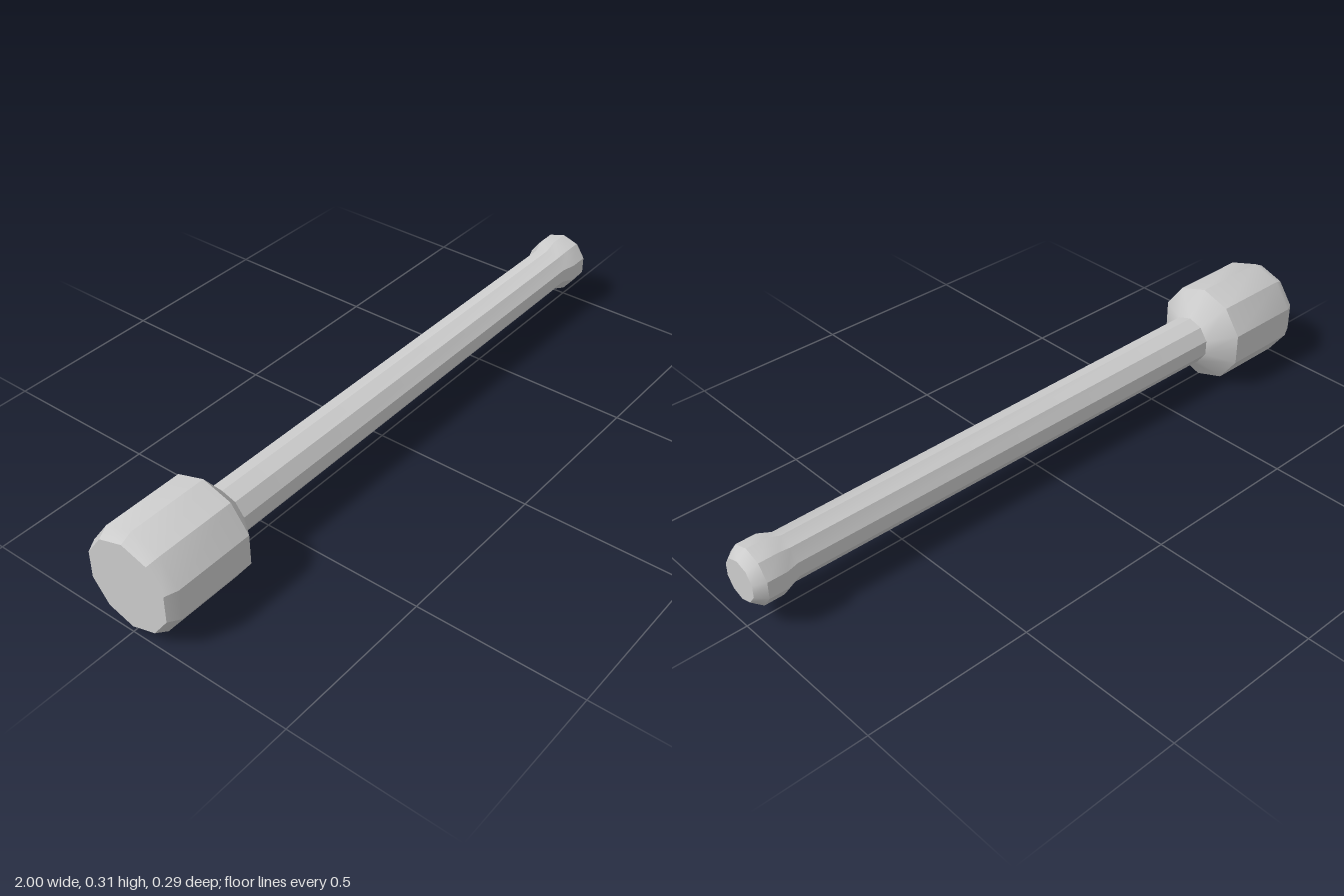
import * as THREE from 'three';
import { toCreasedNormals } from 'three/addons/utils/BufferGeometryUtils.js';

const SIDES = 10;
const AXIS_Y = 0.153;

// Ten-sided solid turned around the x axis; profile is [x, radius] from -x to +x
function turned(name, profile, material) {
  const points = profile.map(([x, r]) => new THREE.Vector2(r, x));
  const lathe = new THREE.LatheGeometry(points, SIDES, Math.PI / 2);
  lathe.rotateZ(-Math.PI / 2);
  const mesh = new THREE.Mesh(toCreasedNormals(lathe, Math.PI / 6), material);
  mesh.name = name;
  mesh.position.y = AXIS_Y;
  return mesh;
}

export function createModel() {
  const model = new THREE.Group();
  model.name = 'mallet';
  const grey = new THREE.MeshStandardMaterial({ color: 0xcccccc });

  // Heavy head: bevelled rear face, straight body, cone down to the handle
  model.add(turned('head', [
    [-1, 0], [-1, 0.135], [-0.965, 0.153], [-0.72, 0.153], [-0.66, 0.075], [-0.66, 0],
  ], grey));

  // Slightly tapering handle that flares into a bevelled end knob
  model.add(turned('handle', [
    [-0.66, 0.075], [0.87, 0.07], [0.91, 0.085], [0.97, 0.085], [1, 0.061], [1, 0],
  ], grey));

  return model;
}
